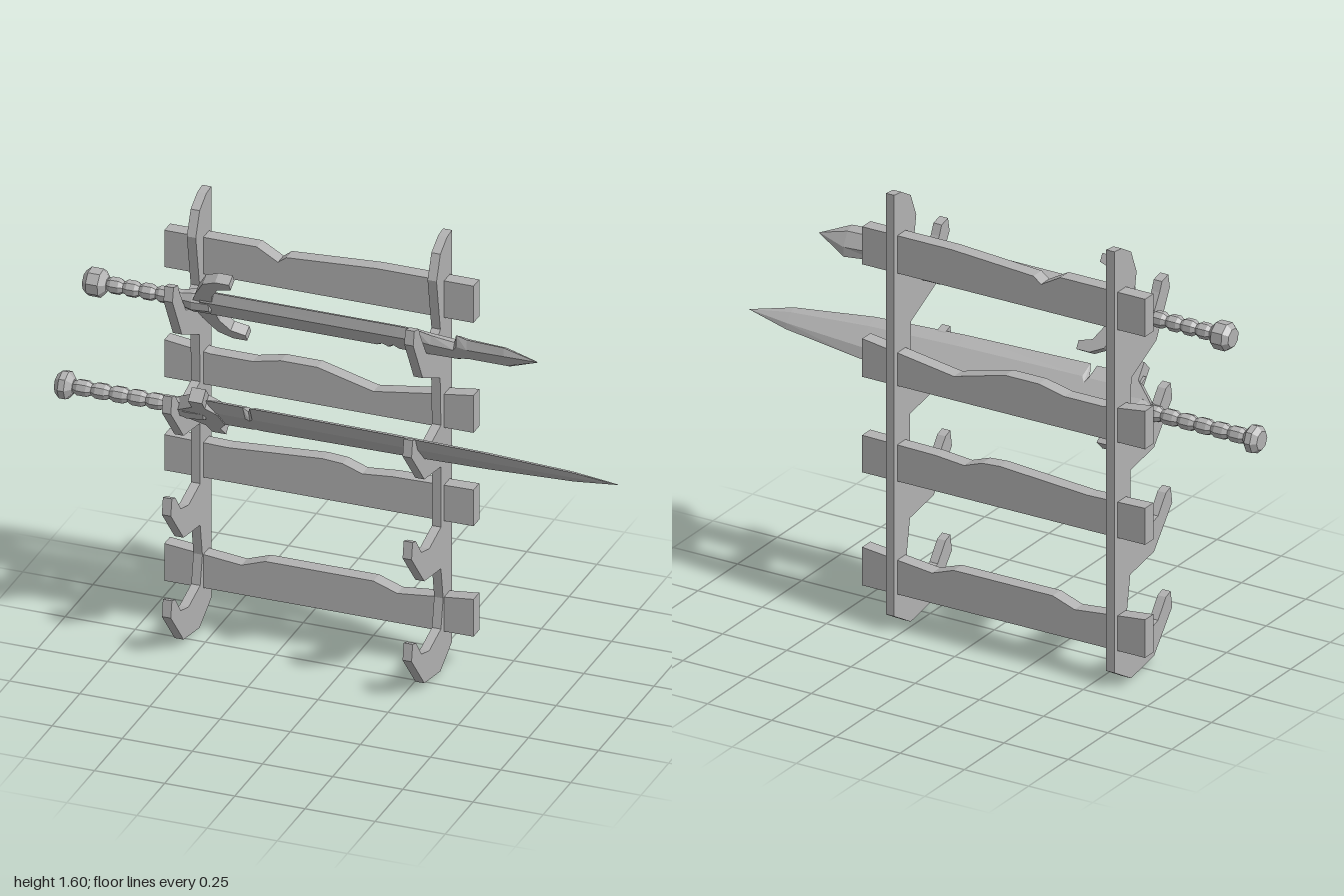
import * as THREE from 'three';

const grey = new THREE.MeshStandardMaterial({ color: 0xb2b2b2, flatShading: true });
grey.name = 'plain grey';

function add(parent, name, geometry) {
  const mesh = new THREE.Mesh(geometry, grey);
  mesh.name = name;
  parent.add(mesh);
  return mesh;
}

// Plate of the given outline, centred on z = 0
function plate(points, depth) {
  const shape = new THREE.Shape(points.map(([x, y]) => new THREE.Vector2(x, y)));
  return new THREE.ExtrudeGeometry(shape, { depth, bevelEnabled: false }).translate(0, 0, -depth / 2);
}

// Blade along x from stations [x, top edge, bottom edge, half thickness]
function bladeGeometry(stations, flat) {
  const pos = [], index = [];
  stations.forEach(([x, top, bot, t], s) => {
    pos.push(x, top, 0, x, top * flat, t, x, bot * flat, t, x, bot, 0, x, bot * flat, -t, x, top * flat, -t);
    if (!s) return;
    for (let i = 0; i < 6; i++) {
      const a = (s - 1) * 6, b = s * 6, j = (i + 1) % 6;
      index.push(a + i, a + j, b + j, a + i, b + j, b + i);
    }
  });
  const geometry = new THREE.BufferGeometry();
  geometry.setAttribute('position', new THREE.Float32BufferAttribute(pos, 3));
  geometry.setIndex(index);
  geometry.computeVertexNormals();
  return geometry;
}

// Faceted turned part along x from [x, radius] pairs
function turned(profile) {
  return new THREE.LatheGeometry(profile.map(([x, r]) => new THREE.Vector2(r, x)), 8).rotateZ(-Math.PI / 2);
}

function makeSword(name, o) {
  const sword = new THREE.Group();
  sword.name = name;
  add(sword, 'blade', bladeGeometry(o.blade, o.flat));
  // Guard outline, mirrored to the lower half
  const lower = o.guard.map(([x, y]) => [x, -y]).reverse();
  add(sword, 'guard', plate([...lower, ...o.guard], o.guardDepth));
  add(sword, 'collar', turned([[-0.57, 0], [-0.57, 0.03], [-0.53, 0.04], [-0.47, 0.035], [-0.45, 0]]));
  // Pommel
  const p = o.start, q = o.gripStart;
  add(sword, 'pommel', turned([[p, 0], [p, 0.034], [p + 0.018, 0.05], [q - 0.02, 0.05], [q, 0.026], [q, 0]]));
  // Grip with bulging wraps
  const grip = [[q - 0.005, 0]], step = (-0.55 - q) / o.wraps;
  for (let i = 0; i < o.wraps; i++) {
    const x = q + i * step;
    grip.push([x, 0.02], [x + step * 0.25, 0.029], [x + step * 0.75, 0.029]);
  }
  grip.push([-0.55, 0.02], [-0.54, 0]);
  add(sword, 'grip', turned(grip));
  sword.position.set(0, o.y, o.z);
  sword.rotation.x = o.tilt;
  return sword;
}

export function createModel() {
  const model = new THREE.Group();
  model.name = 'swordRack';

  // Uprights with four hooks, outline in (z, y)
  const hook = [[0.055, 0.025], [0.17, 0.16], [0.16, 0.22], [0.13, 0.21], [0.08, 0.145], [0.01, 0.125], [-0.095, 0.155]];
  const raised = dy => hook.map(([z, y]) => [z, y + dy]);
  const outline = [
    [-0.195, 0.06], [-0.09, 0], ...raised(0), [-0.115, 0.26],
    [-0.095, 0.38], ...raised(0.38),
    [-0.095, 0.76], ...raised(0.76),
    [-0.088, 1.095], [0.07, 1.17], [0.155, 1.33], [0.145, 1.38], [0.105, 1.37], [0.09, 1.335],
    [0.035, 1.245], [-0.02, 1.22], [-0.09, 1.275],
    [-0.055, 1.47], [-0.09, 1.555], [-0.15, 1.59], [-0.195, 1.595],
  ];
  for (const x of [-0.572, 0.286]) {
    add(model, 'upright', plate(outline, 0.032).rotateY(-Math.PI / 2)).position.x = x;
  }

  // Cross boards with worn top edges: bottom height, then top edge points
  const boards = [
    [0.133, [[-0.695, 0.272], [-0.42, 0.243], [-0.335, 0.273], [0.05, 0.273], [0.135, 0.243], [0.407, 0.272]]],
    [0.545, [[-0.695, 0.678], [-0.47, 0.672], [-0.13, 0.695], [-0.06, 0.69], [0.01, 0.665], [0.12, 0.675], [0.407, 0.68]]],
    [0.893, [[-0.695, 1.032], [-0.53, 1.01], [-0.38, 1.01], [-0.28, 1.032], [-0.15, 1.032], [0.05, 0.98], [0.25, 1.01], [0.407, 1.032]]],
    [1.303, [[-0.695, 1.44], [-0.365, 1.44], [-0.29, 1.397], [-0.26, 1.42], [0.06, 1.44], [0.407, 1.44]]],
  ];
  for (const [bottom, top] of boards) {
    const points = [[-0.695, bottom], [0.407, bottom], ...top.slice().reverse()];
    add(model, 'crossBoard', plate(points, 0.052)).position.z = -0.149;
  }

  // Long sword on the second hooks from the top
  model.add(makeSword('longSword', {
    y: 0.903, z: 0.068, tilt: Math.PI / 4, start: -1, gripStart: -0.94, wraps: 6, flat: 0.5, guardDepth: 0.05,
    guard: [[-0.57, 0.02], [-0.49, 0.09], [-0.485, 0.155], [-0.435, 0.155], [-0.44, 0.1], [-0.41, 0.05]],
    blade: [
      [-0.5, 0.115, -0.113, 0.022], [-0.31, 0.11, -0.11, 0.021], [-0.3, 0.07, -0.095, 0.021], [-0.285, 0.112, -0.11, 0.021],
      [0.2, 0.1, -0.09, 0.02], [0.54, 0.083, -0.07, 0.017], [0.84, 0.045, -0.035, 0.011], [0.998, 0, 0, 0.001],
    ],
  }));

  // Short chipped sword on the top hooks
  model.add(makeSword('shortSword', {
    y: 1.278, z: 0.017, tilt: Math.PI / 6, start: -0.92, gripStart: -0.84, wraps: 5, flat: 0.5, guardDepth: 0.04,
    guard: [[-0.53, 0.02], [-0.51, 0.07], [-0.47, 0.14], [-0.42, 0.165], [-0.37, 0.165], [-0.37, 0.135],
      [-0.42, 0.12], [-0.45, 0.07], [-0.46, 0.02]],
    blade: [
      [-0.5, 0.065, -0.064, 0.024], [0.12, 0.066, -0.064, 0.024], [0.14, 0.066, -0.038, 0.024], [0.16, 0.066, -0.066, 0.024],
      [0.18, 0.066, -0.036, 0.024], [0.2, 0.066, -0.07, 0.024], [0.27, 0.064, -0.07, 0.023], [0.32, 0.045, -0.07, 0.023],
      [0.4, 0.028, -0.07, 0.022], [0.415, 0.076, -0.06, 0.022], [0.45, 0.058, -0.046, 0.022],
      [0.58, 0.05, -0.06, 0.018], [0.69, -0.002, -0.004, 0.001],
    ],
  }));

  return model;
}
